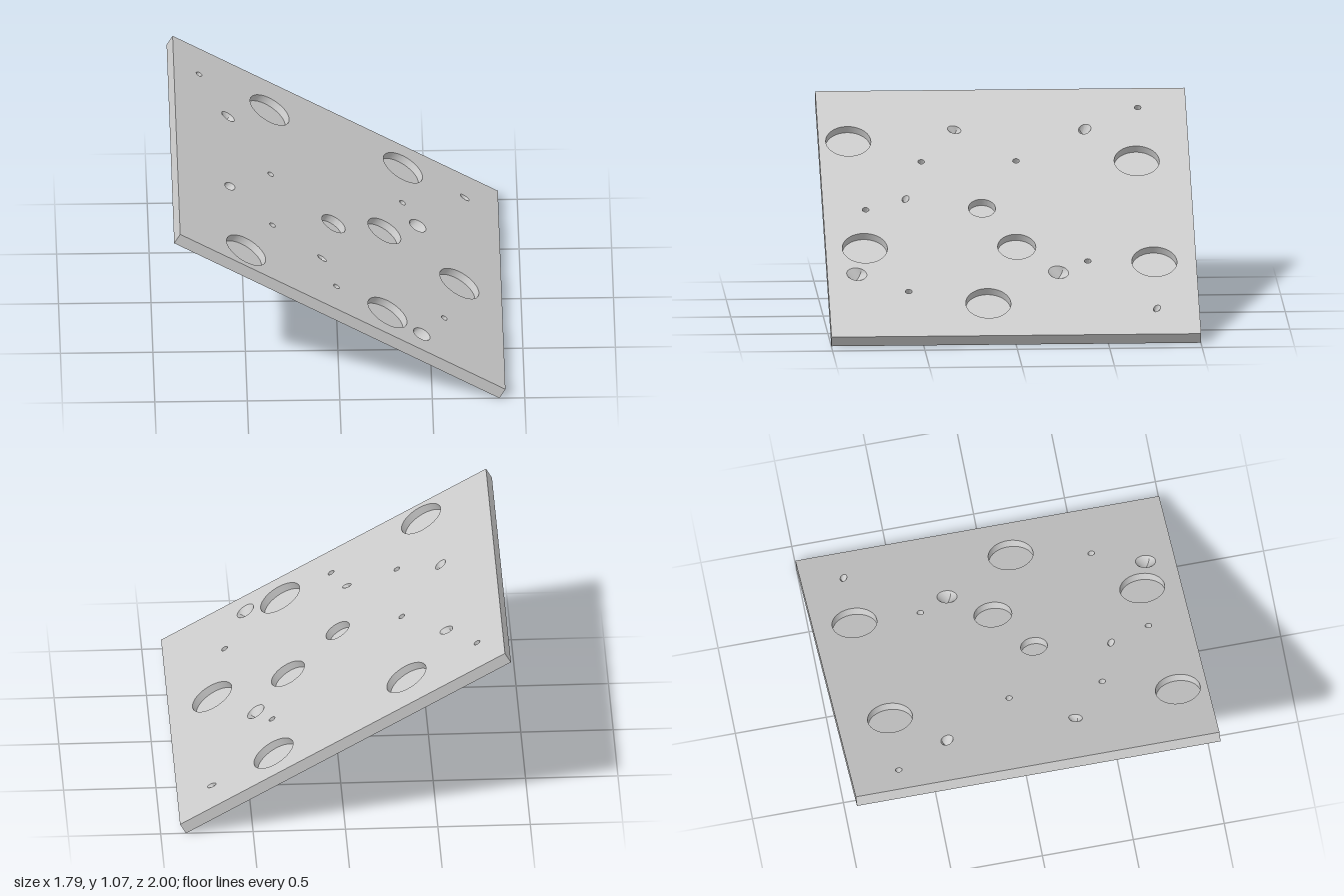
import * as THREE from 'three';
import { mergeVertices, toCreasedNormals } from 'three/addons/utils/BufferGeometryUtils.js';

const TILT = Math.PI / 6, LENGTH = 2.03, WIDTH = 2, THICK = 0.065, DEPTH = 0.044;

// Round flat-bottomed pits: plan position x, z and radius
const ROUND = [
  [-0.344, -0.714, 0.122], [0.378, -0.773, 0.122], [0.664, 0.14, 0.122],
  [0.262, 0.788, 0.122], [-0.503, 0.839, 0.122],
  [0.262, -0.034, 0.103], [-0.016, 0.14, 0.073],
  [-0.725, -0.738, 0.018], [0.368, -0.413, 0.018], [-0.352, -0.061, 0.018],
  [-0.352, 0.452, 0.018], [-0.013, 0.77, 0.018], [0.574, 0.566, 0.018],
];
// Slanting pits: plan position x, z, long and short radius, angle of the long axis
const SLANTED = [
  [0.712, -0.77, 0.029, 0.018, 0.4], [-0.574, -0.444, 0.042, 0.032, 0.5],
  [0.447, -0.251, 0.056, 0.05, -1.0], [-0.579, 0.262, 0.039, 0.029, -1.0],
  [-0.087, 0.55, 0.029, 0.018, 0.4], [0.447, 0.841, 0.056, 0.05, -1.0],
];

// Plan x to distance along the slope of the top face
const along = (x) => (x - THICK / 2 * Math.sin(TILT)) / Math.cos(TILT);

// A pit whose floor is flat, or for slanted ones narrows to a crease
function makePit([x, z, long, short = long, angle = 0], slanted) {
  const n = long > 0.06 ? 64 : 32, rim = [], floor = [];
  const ca = Math.cos(angle), sa = Math.sin(angle), y = THICK / 2, cx = along(x);
  for (let i = 0; i < n; i++) {
    const t = i / n * Math.PI * 2;
    const a = Math.cos(t) * long, b = Math.sin(t) * short;
    const point = (u, v, h) => new THREE.Vector3(cx + u * ca - v * sa, h, z + u * sa + v * ca);
    rim.push(point(a, b, y));
    floor.push(slanted
      ? point(0, b, y - Math.min(DEPTH, long) * Math.abs(Math.cos(t)))
      : point(a, b, y - DEPTH));
  }
  const centre = new THREE.Vector3(cx, y - DEPTH, z), tris = [];
  for (let i = 0; i < n; i++) {
    const j = (i + 1) % n;
    tris.push(rim[i], floor[i], rim[j], rim[j], floor[i], floor[j]);
    if (!slanted) tris.push(centre, floor[j], floor[i]);
  }
  const geometry = toCreasedNormals(new THREE.BufferGeometry().setFromPoints(tris), 0.6);
  return { rim, geometry };
}

export function createModel() {
  const model = new THREE.Group();
  model.name = 'slopingPlate';
  const material = new THREE.MeshStandardMaterial({ color: 0xcccccc });
  const slab = new THREE.Group();
  slab.name = 'slab';
  const add = (name, geometry) => {
    const mesh = new THREE.Mesh(geometry, material);
    mesh.name = name;
    slab.add(mesh);
  };

  // Sides and underside: a box without its top face
  const body = new THREE.BoxGeometry(LENGTH, THICK, WIDTH);
  const index = Array.from(body.index.array);
  index.splice(12, 6);
  body.setIndex(index);
  body.clearGroups();
  add('sidesAndUnderside', body);

  // Top face, pierced by the mouth of every pit
  const l = LENGTH / 2, w = WIDTH / 2;
  const outline = new THREE.Shape([[-l, -w], [l, -w], [l, w], [-l, w]].map((p) => new THREE.Vector2(...p)));
  const pits = [
    ...ROUND.map((p) => ['roundPit', makePit(p, false)]),
    ...SLANTED.map((p) => ['slantedPit', makePit(p, true)]),
  ];
  pits.forEach(([name, pit], i) => {
    outline.holes.push(new THREE.Path(pit.rim.map((p) => new THREE.Vector2(p.x, -p.z))));
    add(name + (i + 1), pit.geometry);
  });
  const top = new THREE.ShapeGeometry(outline);
  top.rotateX(-Math.PI / 2).translate(0, THICK / 2, 0);
  add('topFace', mergeVertices(top));

  // Lean the slab down towards +x and rest its lower edge on the floor
  slab.rotation.z = -TILT;
  slab.position.y = (LENGTH * Math.sin(TILT) + THICK * Math.cos(TILT)) / 2;
  model.add(slab);
  return model;
}
